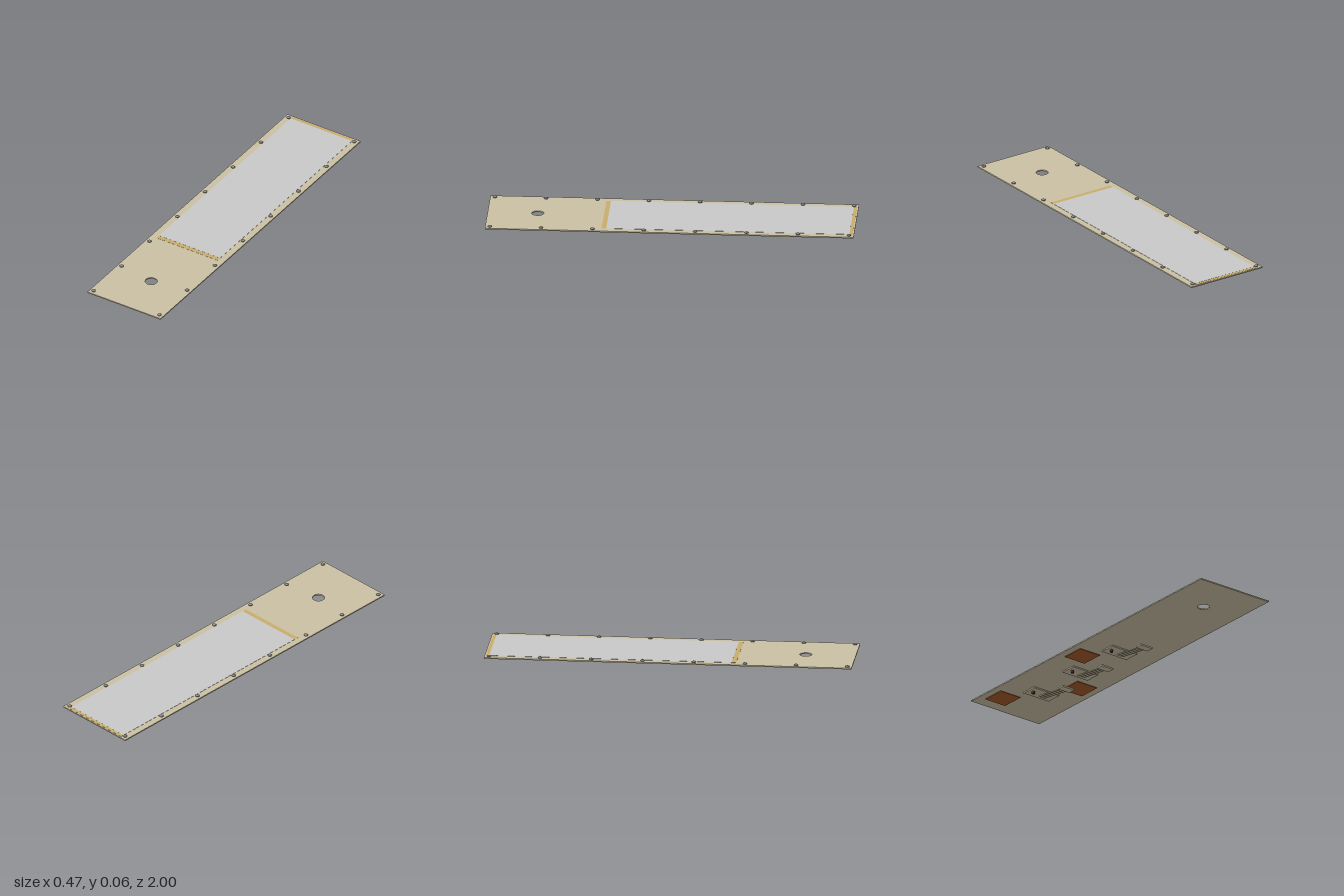
import * as THREE from 'three';

export function createModel() {
  const model = new THREE.Group();
  const mat = (name, color) => {
    const m = new THREE.MeshStandardMaterial({ color });
    m.name = name;
    return m;
  };
  const board = mat('beige board', 0xc9c0a3);
  const sheet = mat('grey sheet', 0xc8c8c8);
  const gold = mat('gold strip', 0xc8ac6a);
  const copper = mat('copper patch', 0xa55a2a);
  const steel = mat('screw steel', 0x8c8c88);
  const black = mat('black button', 0x333333);

  const add = (parent, name, geometry, material, x = 0, y = 0, z = 0) => {
    const mesh = new THREE.Mesh(geometry, material);
    mesh.name = name;
    mesh.position.set(x, y, z);
    parent.add(mesh);
    return mesh;
  };
  // box given by its lower and upper limits
  const block = (parent, name, material, x0, x1, y0, y1, z0, z1) =>
    add(parent, name, new THREE.BoxGeometry(x1 - x0, y1 - y0, z1 - z0), material,
      (x0 + x1) / 2, (y0 + y1) / 2, (z0 + z1) / 2);

  // long base plate with a round hole near the front
  const outline = new THREE.Shape();
  outline.moveTo(-0.235, -1);
  outline.lineTo(0.235, -1);
  outline.lineTo(0.235, 1);
  outline.lineTo(-0.235, 1);
  outline.closePath();
  const hole = new THREE.Path();
  hole.absarc(0, -0.728, 0.033, 0, Math.PI * 2, true);
  outline.holes.push(hole);
  const plate = new THREE.ExtrudeGeometry(outline, { depth: 0.007, bevelEnabled: false, curveSegments: 32 });
  plate.rotateX(-Math.PI / 2);
  add(model, 'basePlate', plate, board, 0, 0.041, 0);

  // top sheet with gold strips showing at both ends
  block(model, 'topSheet', sheet, -0.197, 0.197, 0.047, 0.0492, -0.975, 0.344);
  block(model, 'frontStrip', gold, -0.197, 0.197, 0.047, 0.0487, 0.344, 0.369);
  block(model, 'rearStrip', gold, -0.197, 0.197, 0.047, 0.0487, -0.993, -0.975);

  // rows of domed screws along both long edges
  const screwProfile = [[0, 0], [0.011, 0], [0.011, 0.004], [0.007, 0.0075], [0, 0.0075]]
    .map(([r, y]) => new THREE.Vector2(r, y));
  const screw = new THREE.LatheGeometry(screwProfile, 16);
  for (const side of [-1, 1]) {
    for (let i = 0; i < 8; i++) {
      add(model, 'screw', screw, steel, side * 0.211, 0.048, -0.975 + i * 1.95 / 7);
    }
  }

  // copper patches under the plate
  for (const [x, z] of [[0.122, -0.505], [-0.127, -0.86], [-0.127, -0.168]]) {
    block(model, 'copperPatch', copper, x - 0.068, x + 0.068, 0.0375, 0.0415, z - 0.067, z + 0.067);
  }

  // three spring lever units hanging under the plate
  for (let i = 0; i < 3; i++) {
    const unit = new THREE.Group();
    unit.name = 'leverUnit';
    unit.position.z = -0.005 - i * 0.34;
    model.add(unit);
    block(unit, 'mountPlate', board, -0.085, 0.085, 0.034, 0.0415, -0.046, 0.046);
    add(unit, 'button', new THREE.CylinderGeometry(0.009, 0.009, 0.014, 16), black, -0.059, 0.0275, 0.005);
    // sloping bars
    const rise = 0.027, run = 0.205;
    for (const x of [0.004, 0.021, 0.038]) {
      const bar = add(unit, 'leverBar', new THREE.BoxGeometry(0.009, 0.005, Math.hypot(rise, run)),
        board, x, 0.0195, 0.0775);
      bar.rotation.x = Math.atan2(rise, run);
    }
    block(unit, 'leverFoot', board, -0.018, 0.06, 0, 0.009, 0.168, 0.212);
  }
  return model;
}
